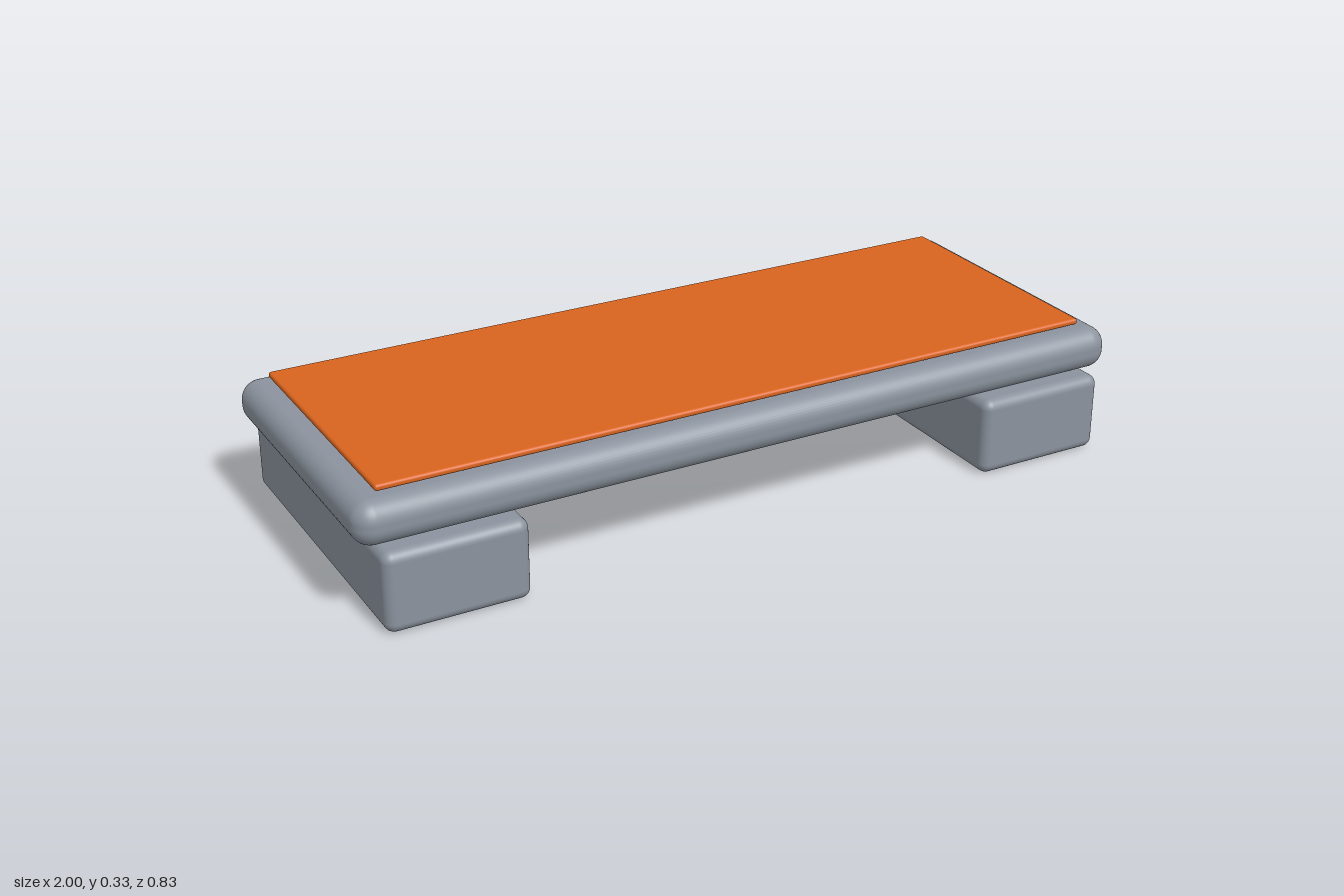
import * as THREE from 'three';
import { RoundedBoxGeometry } from 'three/addons/geometries/RoundedBoxGeometry.js';

export function createModel() {
  const model = new THREE.Group();
  model.name = 'bench';

  const stone = new THREE.MeshStandardMaterial({ color: 0x8b939e });
  stone.name = 'stone grey';
  const orange = new THREE.MeshStandardMaterial({ color: 0xd9641f });
  orange.name = 'burnt orange';

  // Rounded block resting at height y0
  function addBlock(name, material, [w, h, d], radius, x, y0) {
    const mesh = new THREE.Mesh(new RoundedBoxGeometry(w, h, d, 6, radius), material);
    mesh.name = name;
    mesh.position.set(x, y0 + h / 2, 0);
    model.add(mesh);
  }

  // Two wide supports, slightly deeper than the slab
  for (const [side, sign] of [['left', 1], ['right', -1]]) {
    addBlock(`${side}Support`, stone, [0.345, 0.197, 0.826], 0.025, sign * 0.782, 0);
  }

  // Pillowy seat slab
  addBlock('seatSlab', stone, [2, 0.108, 0.78], 0.048, 0, 0.198);

  // Thin top panel, floating just above the slab
  addBlock('topPanel', orange, [1.87, 0.016, 0.674], 0.007, 0, 0.311);

  return model;
}
